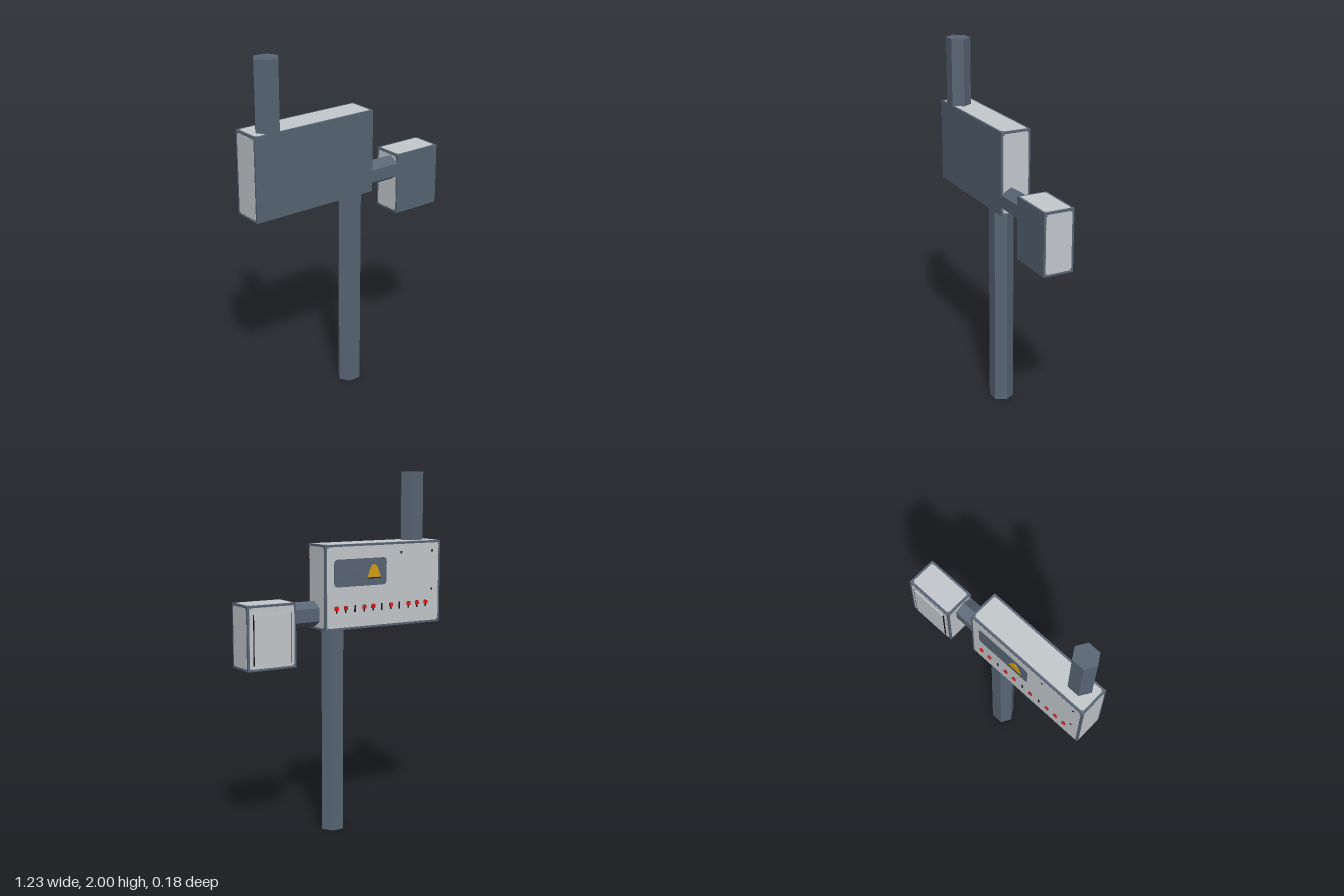
import * as THREE from 'three';

const mat = (name, color) => {
  const m = new THREE.MeshStandardMaterial({ color });
  m.name = name;
  m.flatShading = true;
  return m;
};

export function createModel() {
  const slate = mat('slate', 0x586575);
  const grey = mat('lightGrey', 0xc4c9cd);
  const black = mat('black', 0x15171a);
  const yellow = mat('yellow', 0xd6a010);
  const red = mat('red', 0xe01515);
  const model = new THREE.Group();
  const D = 0.087; // half depth of both cabinets

  const add = (parent, name, geometry, material) => {
    const mesh = new THREE.Mesh(geometry, material);
    mesh.name = name;
    parent.add(mesh);
    return mesh;
  };
  // Box from its centre and size arrays
  const box = (parent, name, material, c, s) => {
    const mesh = add(parent, name, new THREE.BoxGeometry(...s), material);
    mesh.position.set(...c);
    return mesh;
  };
  // Thin plate cut from a shape, standing proud of the back face
  const backPlate = (parent, name, material, shape, z, depth = 0.003) => {
    const g = new THREE.ExtrudeGeometry(shape, { depth, bevelEnabled: false, curveSegments: 5 });
    add(parent, name, g, material).position.z = z - depth;
  };

  // Six-sided posts, slightly squashed in depth
  const hexBar = (name, r, length) => {
    const g = new THREE.CylinderGeometry(r, r, length, 6);
    g.rotateY(Math.PI / 6);
    g.scale(1, 1, 0.058 / (r * Math.cos(Math.PI / 6)));
    return add(model, name, g, slate);
  };
  hexBar('lowerPost', 0.07, 1.155).position.set(0.028, 0.5775, 0.029);
  hexBar('upperPost', 0.0725, 0.382).position.set(-0.5, 1.809, 0.029);
  const arm = hexBar('connectingArm', 0.0715, 0.18);
  arm.rotation.z = Math.PI / 2;
  arm.position.set(0.233, 1.237, 0.029);

  // Cabinet: slate shell with an inset light plate and corner rivets on five sides
  const cabinet = (name, x0, x1, y0, y1) => {
    const group = new THREE.Group();
    group.name = name;
    model.add(group);
    const c = [(x0 + x1) / 2, (y0 + y1) / 2, 0];
    const s = [x1 - x0, y1 - y0, 2 * D];
    box(group, 'shell', slate, c, s);
    const border = 0.012, thick = 0.002;
    for (const [axis, sign] of [[0, 1], [0, -1], [1, 1], [1, -1], [2, -1]]) {
      const size = s.map((v, i) => (i === axis ? thick : v - 2 * border));
      const centre = c.map((v, i) => (i === axis ? v + sign * s[i] / 2 : v));
      box(group, 'panel', grey, centre, size);
      const [u, v] = [0, 1, 2].filter((i) => i !== axis);
      for (const a of [-1, 1]) for (const b of [-1, 1]) {
        const p = [...centre];
        p[u] += a * (size[u] / 2 - 0.004);
        p[v] += b * (size[v] / 2 - 0.004);
        const rs = [0.006, 0.006, 0.006];
        rs[axis] = 0.004;
        box(group, 'rivet', slate, p, rs);
      }
    }
    return group;
  };
  const main = cabinet('mainCabinet', -0.617, 0.143, 1.153, 1.618);
  const side = cabinet('sideCabinet', 0.323, 0.613, 0.975, 1.323);
  const back = -D - 0.001;

  // Rounded display window
  const [l, r, b, t, q] = [-0.251, 0.087, 1.388, 1.538, 0.022];
  const win = new THREE.Shape();
  win.moveTo(l + q, b);
  win.lineTo(r - q, b).quadraticCurveTo(r, b, r, b + q);
  win.lineTo(r, t - q).quadraticCurveTo(r, t, r - q, t);
  win.lineTo(l + q, t).quadraticCurveTo(l, t, l, t - q);
  win.lineTo(l, b + q).quadraticCurveTo(l, b, l + q, b);
  backPlate(main, 'displayWindow', slate, win, back);

  // Yellow warning lamp symbol with a dark base line
  const lamp = new THREE.Shape();
  lamp.moveTo(-0.21, 1.432);
  lamp.lineTo(-0.124, 1.432).lineTo(-0.145, 1.485);
  lamp.quadraticCurveTo(-0.167, 1.525, -0.189, 1.485);
  backPlate(main, 'warningLamp', yellow, lamp, back - 0.003, 0.004);
  box(main, 'lampBase', black, [-0.167, 1.429, back - 0.005], [0.084, 0.006, 0.004]);

  // Row of switches: dark slots, most with a red cap
  for (let i = 0; i < 11; i++) {
    const x = 0.073 - i * 0.059;
    box(main, 'switchSlot', black, [x, 1.265, back - 0.001], [0.008, 0.038, 0.004]);
    if (![2, 5, 7].includes(i)) {
      box(main, 'switchCap', red, [x, 1.272, back - 0.004], [0.022, 0.02, 0.008]);
    }
  }

  // Small screws beside the window
  for (const [x, y] of [[-0.35, 1.56], [-0.56, 1.56], [-0.56, 1.345]]) {
    box(main, 'screw', black, [x, y, back - 0.001], [0.009, 0.012, 0.004]);
  }

  // Raised door on the side cabinet with dark vertical edges
  box(side, 'door', grey, [0.468, 1.14, back - 0.003], [0.217, 0.27, 0.008]);
  for (const x of [0.358, 0.578]) {
    box(side, 'doorEdge', black, [x, 1.14, back - 0.003], [0.003, 0.27, 0.008]);
  }
  return model;
}
